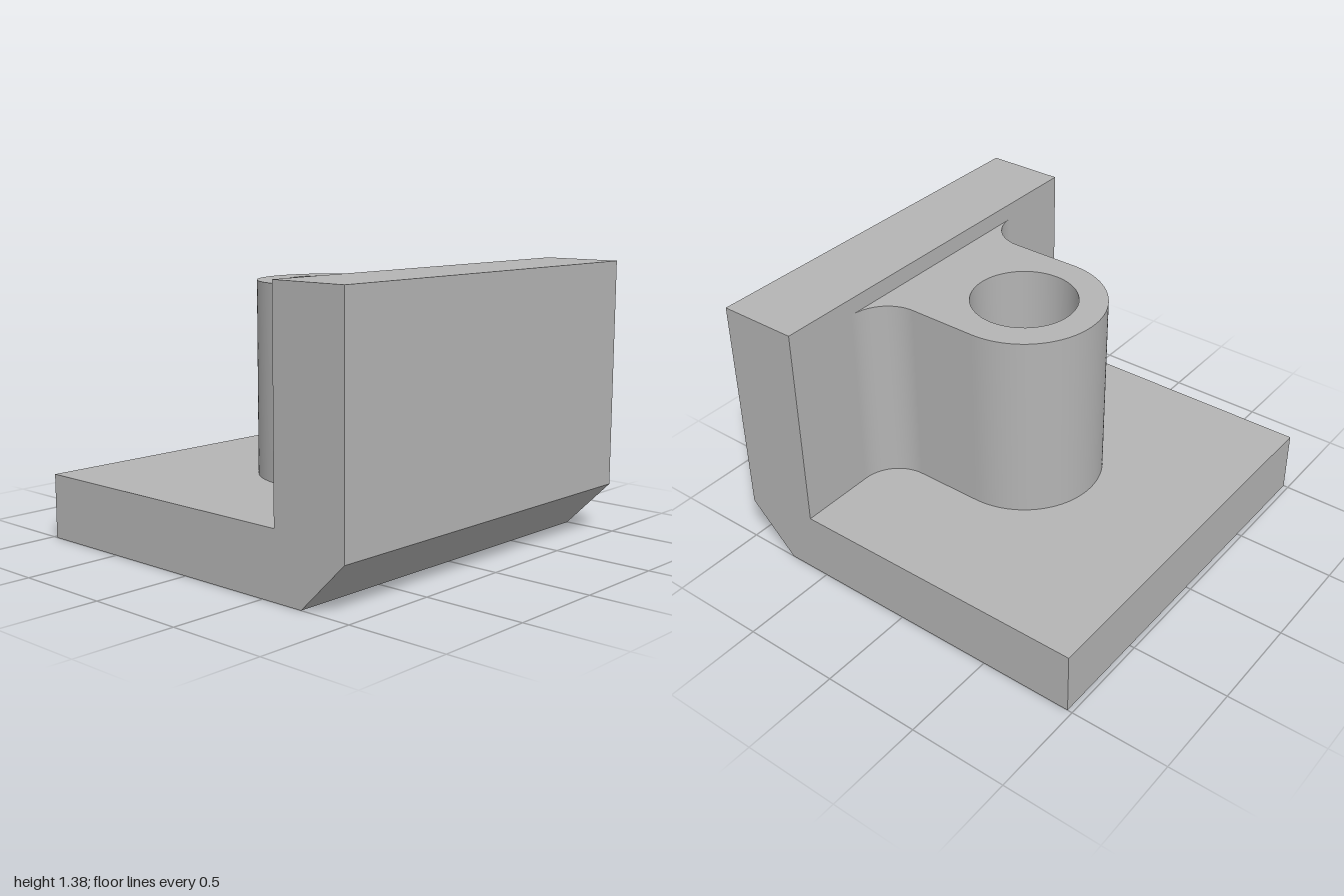
import * as THREE from 'three';
import { toCreasedNormals } from 'three/addons/utils/BufferGeometryUtils.js';

const BASE_TOP = 0.325, BOSS_TOP = 1.29, WALL_TOP = 1.375;
const WALL_X = 0.572, HOLE_X = 0.022, STEP_Y = 0.7;

export function createModel() {
  const group = new THREE.Group();
  const grey = new THREE.MeshStandardMaterial({ color: 0xb4b4b4 });
  grey.name = 'plain grey';
  const add = (name, geometry) => {
    const mesh = new THREE.Mesh(geometry, grey);
    mesh.name = name;
    group.add(mesh);
    return mesh;
  };

  // L-shaped bracket with a chamfered outer corner
  const profile = new THREE.Shape([
    [-0.975, 0], [0.73, 0], [0.975, 0.243], [0.975, WALL_TOP],
    [WALL_X, WALL_TOP], [WALL_X, BASE_TOP], [-0.975, BASE_TOP],
  ].map(([x, y]) => new THREE.Vector2(x, y)));
  const bracket = new THREE.ExtrudeGeometry(profile, { depth: 2, bevelEnabled: false });
  add('bracket', bracket.translate(0, 0, -1));

  // Boss plan: round nose, straight flanks and fillets into the wall
  const r = 0.2, nose = 0.4, fx = WALL_X - r, fz = nose + r;
  const plan = new THREE.Shape();
  plan.moveTo(WALL_X, fz);
  plan.absarc(fx, fz, r, 0, -Math.PI / 2, true);
  plan.lineTo(HOLE_X, nose);
  plan.absarc(HOLE_X, 0, nose, Math.PI / 2, Math.PI * 1.5, false);
  plan.lineTo(fx, -nose);
  plan.absarc(fx, -fz, r, Math.PI / 2, 0, true);
  const outline = plan.getPoints(32);

  // Boss side: a smooth upright strip along the plan
  const positions = [], index = [];
  outline.forEach((p, i) => {
    positions.push(p.x, BASE_TOP, -p.y, p.x, BOSS_TOP, -p.y);
    if (i < outline.length - 1) {
      const a = i * 2;
      index.push(a, a + 2, a + 1, a + 1, a + 2, a + 3);
    }
  });
  const side = new THREE.BufferGeometry();
  side.setAttribute('position', new THREE.Float32BufferAttribute(positions, 3));
  side.setIndex(index);
  side.computeVertexNormals();
  add('bossSide', side);

  // Boss top with the bore opening
  plan.holes.push(new THREE.Path().absarc(HOLE_X, 0, 0.26, 0, Math.PI * 2, true));
  const top = new THREE.ShapeGeometry(plan, 32).rotateX(-Math.PI / 2);
  add('bossTop', top.translate(0, BOSS_TOP, 0));

  // Stepped bore, running from the rim down to the base
  const bore = new THREE.LatheGeometry([
    [0.26, BOSS_TOP], [0.26, STEP_Y], [0.13, STEP_Y], [0.13, BASE_TOP],
  ].map(([x, y]) => new THREE.Vector2(x, y)), 64);
  add('steppedBore', toCreasedNormals(bore, 0.6)).position.x = HOLE_X;

  return group;
}
